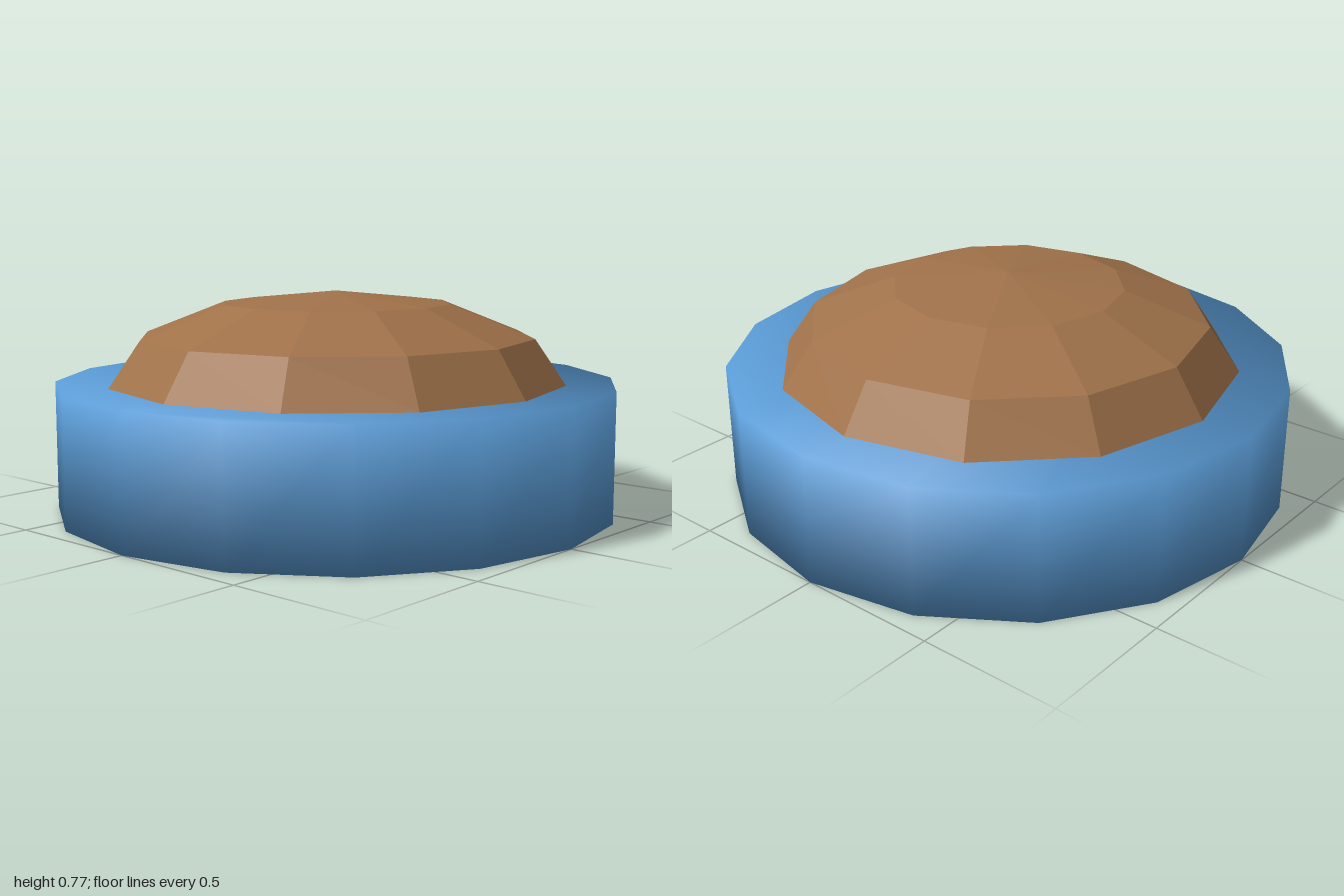
import * as THREE from 'three';

const SIDES = 16, HEIGHT = 0.455;

// Closed drum with shared rim vertices, so the shading rolls over the edges.
function drumGeometry(radius, height, n) {
  const pos = [], nor = [], idx = [];
  for (const [y, up] of [[0, -1], [height, 1]]) {
    for (let i = 0; i < n; i++) {
      const a = (i / n) * Math.PI * 2, s = Math.sin(a), c = Math.cos(a);
      pos.push(radius * s, y, radius * c);
      nor.push(s * Math.SQRT1_2, up * Math.SQRT1_2, c * Math.SQRT1_2);
    }
  }
  // side wall
  for (let i = 0; i < n; i++) {
    const j = (i + 1) % n;
    idx.push(i, j, n + j, i, n + j, n + i);
  }
  // bottom and top faces
  for (let i = 1; i < n - 1; i++) {
    idx.push(0, i + 1, i);
    idx.push(n, n + i, n + i + 1);
  }
  const g = new THREE.BufferGeometry();
  g.setAttribute('position', new THREE.Float32BufferAttribute(pos, 3));
  g.setAttribute('normal', new THREE.Float32BufferAttribute(nor, 3));
  g.setIndex(idx);
  return g;
}

export function createModel() {
  const group = new THREE.Group();
  group.name = 'pottedMound';

  // Round base
  const base = new THREE.Mesh(
    drumGeometry(1, HEIGHT, SIDES),
    new THREE.MeshStandardMaterial({ color: 0x5a9bd5 })
  );
  base.name = 'base';
  group.add(base);

  // Flattened, faceted dome rising from the top of the base
  const dome = new THREE.Mesh(
    new THREE.SphereGeometry(1, 12, 3, 0, Math.PI * 2, 0, Math.PI / 2),
    new THREE.MeshStandardMaterial({ color: 0xa0724a, flatShading: true })
  );
  dome.name = 'dome';
  dome.scale.set(0.818, 0.32, 0.818);
  dome.position.y = HEIGHT;
  group.add(dome);

  return group;
}
